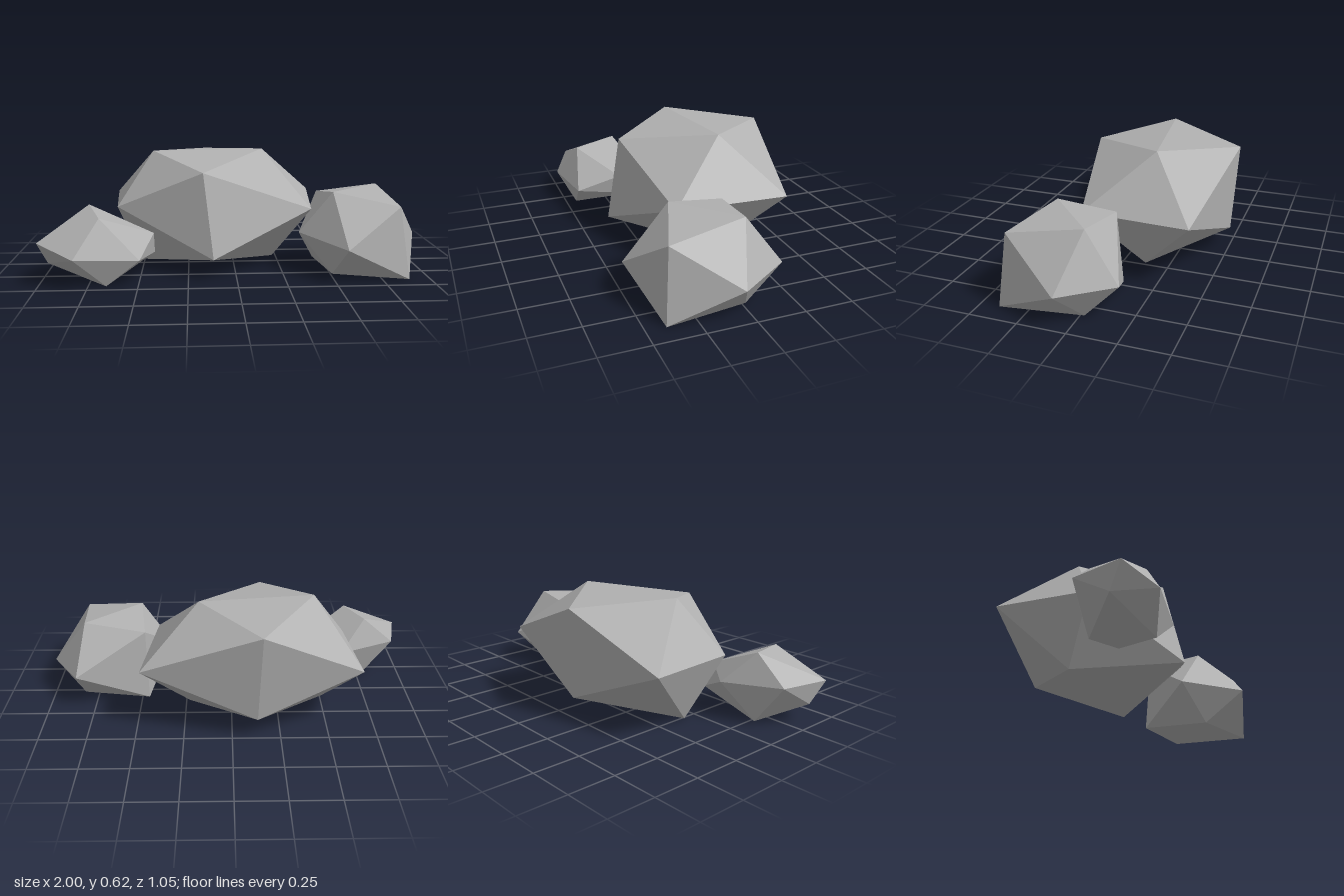
import * as THREE from 'three';
import { ConvexGeometry } from 'three/addons/geometries/ConvexGeometry.js';

// Corner points of each boulder: an uneven, squashed twenty-sided stone with a grounded base
const ROCKS = {
  largeRock: [
    [-0.44, 0.62, -0.08], [0.17, 0.62, -0.16], [-0.17, 0.545, 0.29], [-0.15, 0.585, -0.53], // top
    [-0.67, 0.34, -0.42], [0.47, 0.345, -0.42], [0.41, 0.33, 0.17], [-0.63, 0.335, 0.08],   // middle
    [-0.12, 0.11, 0.38], [-0.13, 0.11, -0.5], [-0.51, 0, -0.08], [0.23, 0, -0.12],          // base
  ],
  smallRock: [
    [-0.77, 0.365, 0.16], [-0.69, 0.34, 0.41],
    [-1, 0.22, 0.42], [-0.43, 0.22, 0.22], [-0.94, 0.22, 0.16], [-0.63, 0.2, 0.05],
    [-0.81, 0.155, 0.52], [-0.49, 0.135, 0.46], [-0.96, 0.1, 0.35], [-0.43, 0.1, 0.15],
    [-0.77, 0, 0.16], [-0.66, 0, 0.44],
  ],
  mediumRock: [
    [0.51, 0.435, 0.25], [0.8, 0.435, -0.02], [0.84, 0.375, 0.37], [0.47, 0.39, -0.05],
    [0.55, 0.18, 0.5], [1, 0.17, 0.06], [0.84, 0.19, -0.2], [0.34, 0.21, 0.2],
    [0.89, 0, 0.4], [0.83, 0, -0.02], [0.51, 0, 0.28], [0.46, 0, -0.08],
  ],
};

export function createModel() {
  const group = new THREE.Group();
  group.name = 'rockCluster';

  const stone = new THREE.MeshStandardMaterial({ color: 0xb0b0b0 });
  stone.name = 'grey stone';
  stone.flatShading = true;

  // Each boulder is the faceted hull around its corners
  for (const [name, corners] of Object.entries(ROCKS)) {
    const points = corners.map((c) => new THREE.Vector3(...c));
    const rock = new THREE.Mesh(new ConvexGeometry(points), stone);
    rock.name = name;
    group.add(rock);
  }
  return group;
}
